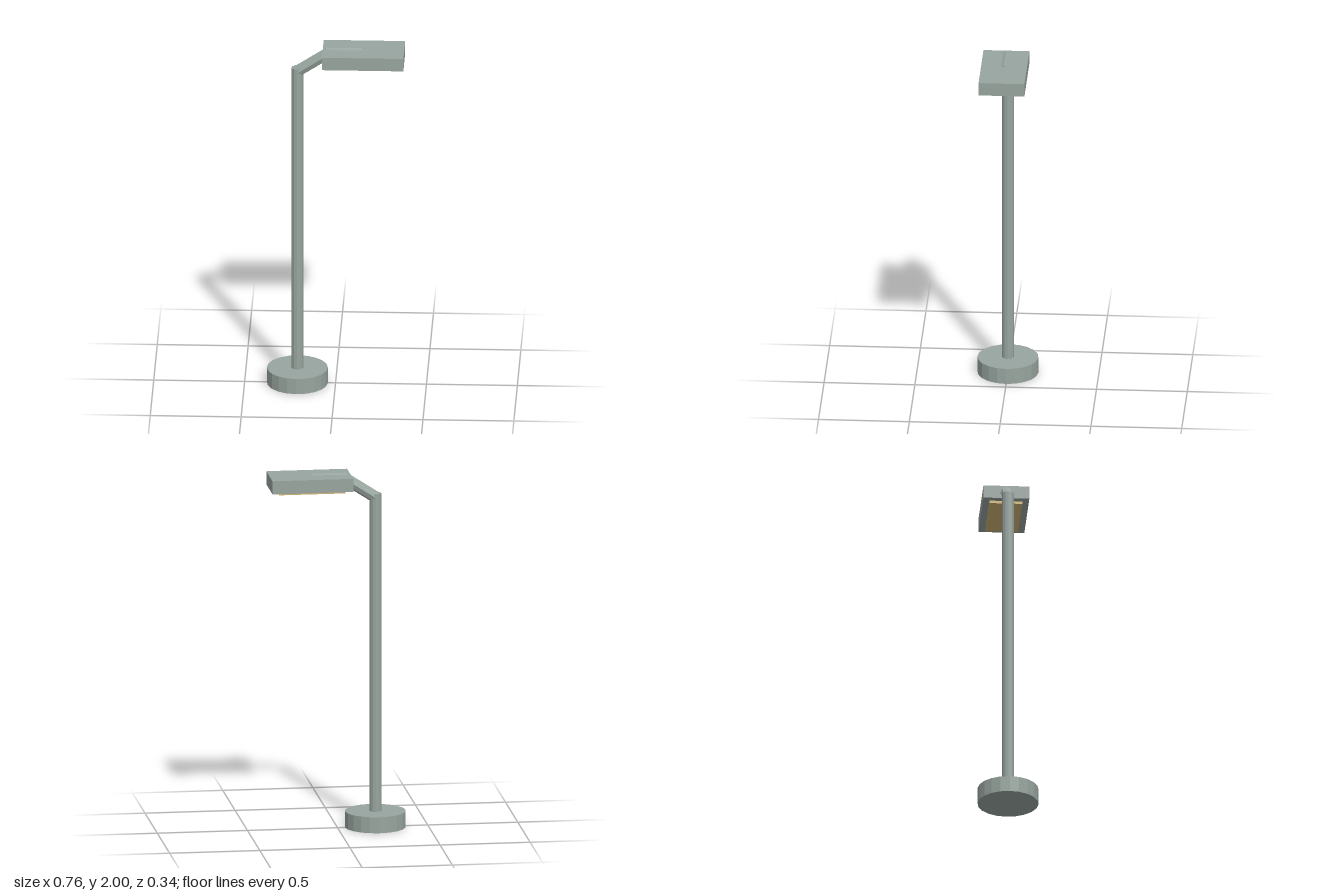
import * as THREE from 'three';

const bodyGrey = new THREE.MeshStandardMaterial({ color: 0x98a59f });
const lampTan = new THREE.MeshStandardMaterial({ color: 0xd2b475 });

// Give every face its own normal for a crisp faceted look
function faceted(geometry) {
  const flat = geometry.toNonIndexed();
  flat.computeVertexNormals();
  return flat;
}

function addPart(group, name, geometry, material, x = 0, y = 0, z = 0) {
  const mesh = new THREE.Mesh(faceted(geometry), material);
  mesh.name = name;
  mesh.position.set(x, y, z);
  group.add(mesh);
}

// Capped octagonal tube that bends once, with a mitred joint
function bentTube(start, bend, end, radius) {
  const geometry = new THREE.CylinderGeometry(radius, radius, 2, 8, 2);
  const centres = [start, bend, end];
  const slope = Math.atan2(bend.y - start.y, bend.x - start.x);
  const tilts = [slope, slope / 2, 0];
  const stretch = [1, 1 / Math.cos(slope / 2), 1];
  const p = geometry.attributes.position;
  for (let i = 0; i < p.count; i++) {
    const row = Math.round(p.getY(i)) + 1;
    const up = -p.getX(i) * stretch[row];
    p.setXYZ(
      i,
      centres[row].x - Math.sin(tilts[row]) * up,
      centres[row].y + Math.cos(tilts[row]) * up,
      p.getZ(i)
    );
  }
  return geometry;
}

export function createModel() {
  const lamp = new THREE.Group();
  lamp.name = 'streetLamp';
  const poleX = -0.21;

  // Round foot and upright
  addPart(lamp, 'base', new THREE.CylinderGeometry(0.168, 0.168, 0.09, 20), bodyGrey, poleX, 0.045);
  addPart(lamp, 'pole', new THREE.CylinderGeometry(0.033, 0.033, 1.8, 12), bodyGrey, poleX, 0.98);

  // Arm rising from the pole and running along the top of the head
  addPart(lamp, 'arm', bentTube(
    new THREE.Vector2(poleX, 1.858),
    new THREE.Vector2(-0.043, 1.967),
    new THREE.Vector2(0.152, 1.967),
    0.033
  ), bodyGrey);

  // Lamp head with the light panel underneath
  addPart(lamp, 'head', new THREE.BoxGeometry(0.448, 0.074, 0.253), bodyGrey, 0.154, 1.956);
  addPart(lamp, 'lightPanel', new THREE.BoxGeometry(0.368, 0.02, 0.18), lampTan, 0.152, 1.914);

  return lamp;
}
